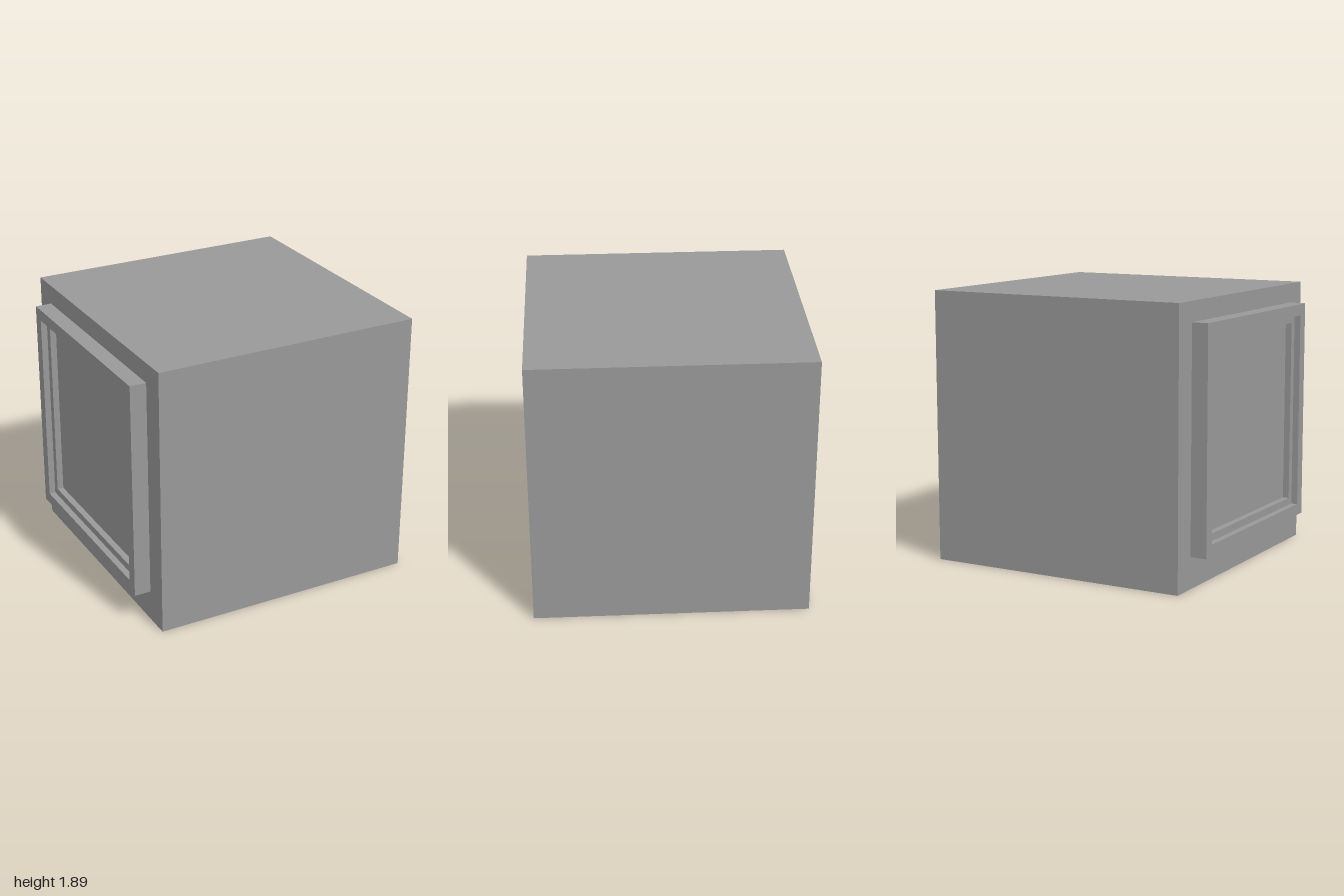
import * as THREE from 'three';

const grey = new THREE.MeshStandardMaterial({ color: 0x999999 });
grey.name = 'grey';

const FACE_X = -0.885; // side of the body that carries the frame
const FRAME_Y = 0.985; // height of the frame centre

function add(group, name, geometry, x, y, z) {
  const mesh = new THREE.Mesh(geometry, grey);
  mesh.name = name;
  mesh.position.set(x, y, z);
  group.add(mesh);
}

function trace(path, half) {
  path.moveTo(-half, -half);
  path.lineTo(half, -half);
  path.lineTo(half, half);
  path.lineTo(-half, half);
  path.closePath();
  return path;
}

// Square ring standing out from the body towards -x
function squareRing(outer, inner, depth) {
  const shape = trace(new THREE.Shape(), outer);
  shape.holes.push(trace(new THREE.Path(), inner));
  const geometry = new THREE.ExtrudeGeometry(shape, { depth, bevelEnabled: false });
  return geometry.rotateY(-Math.PI / 2);
}

export function createModel() {
  const model = new THREE.Group();
  model.name = 'framedCube';

  // Main block
  add(model, 'body', new THREE.BoxGeometry(1.885, 1.89, 1.89), 0.0575, 0.945, 0);

  // Stepped frame: raised rim, lower ledge, recessed panel
  const frame = new THREE.Group();
  frame.name = 'sideFrame';
  add(frame, 'outerRim', squareRing(0.768, 0.688, 0.115), FACE_X, FRAME_Y, 0);
  add(frame, 'innerLedge', squareRing(0.688, 0.637, 0.07), FACE_X, FRAME_Y, 0);
  add(frame, 'recessedPanel', new THREE.BoxGeometry(0.025, 1.274, 1.274), FACE_X - 0.0125, FRAME_Y, 0);
  model.add(frame);

  return model;
}
